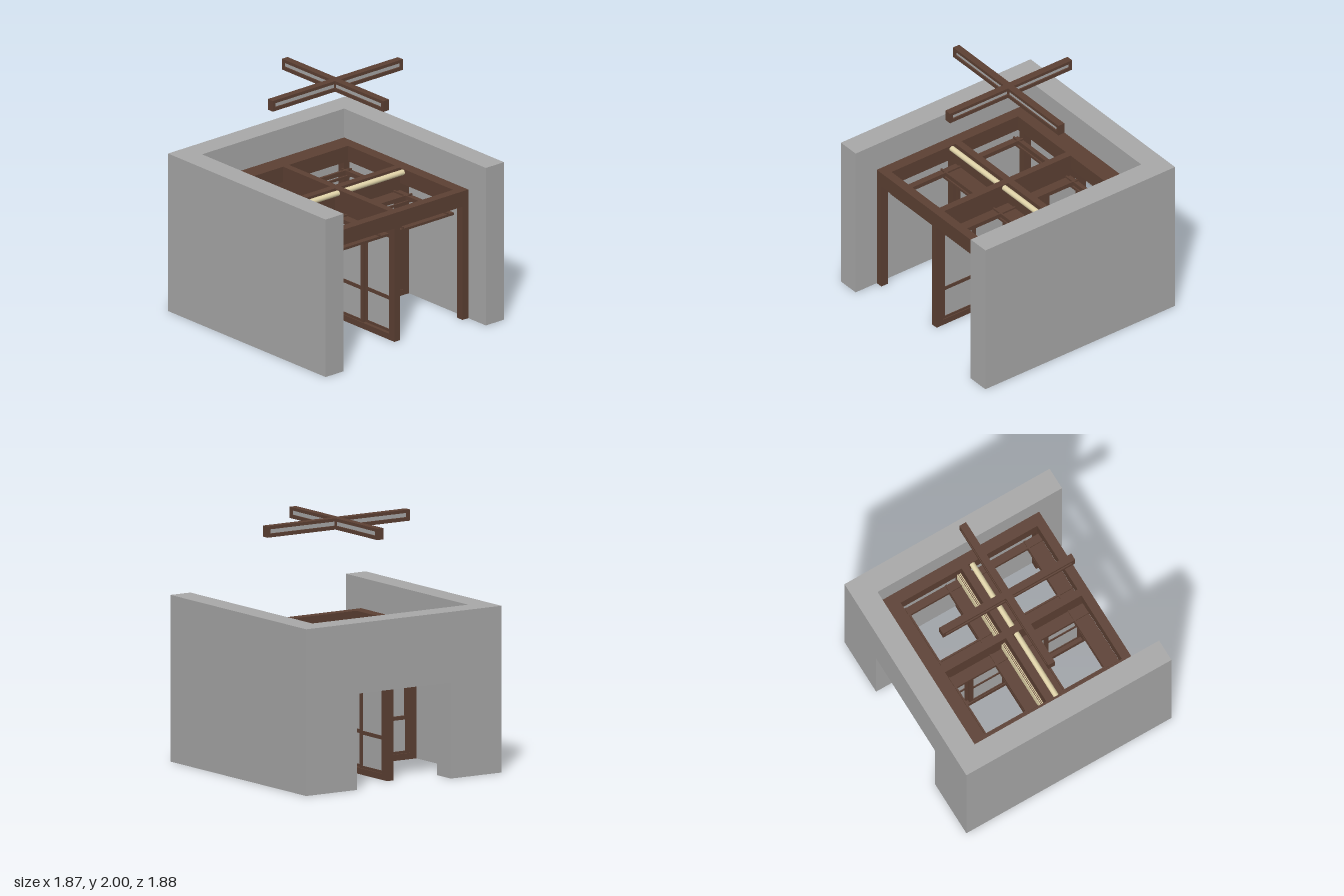
import * as THREE from 'three';

export function createModel() {
  const root = new THREE.Group();
  const plaster = new THREE.MeshStandardMaterial({ color: 0xa8a8a8 });
  plaster.name = 'grey plaster';
  const wood = new THREE.MeshStandardMaterial({ color: 0x5c4033 });
  wood.name = 'dark wood';
  const cream = new THREE.MeshStandardMaterial({ color: 0xe0d3a8 });
  cream.name = 'cream blind';

  // Box given by its limits on each axis
  function block(name, mat, x0, x1, y0, y1, z0, z1, parent = root) {
    const mesh = new THREE.Mesh(new THREE.BoxGeometry(x1 - x0, y1 - y0, z1 - z0), mat);
    mesh.position.set((x0 + x1) / 2, (y0 + y1) / 2, (z0 + z1) / 2);
    mesh.name = name;
    parent.add(mesh);
    return mesh;
  }

  const rect = (P, x0, x1, y0, y1) => {
    const p = new P();
    p.moveTo(x0, y0);
    p.lineTo(x1, y0);
    p.lineTo(x1, y1);
    p.lineTo(x0, y1);
    p.closePath();
    return p;
  };
  const extrude = (shape, depth) =>
    new THREE.ExtrudeGeometry(shape, { depth, bevelEnabled: false });

  // Walls: U-shaped plan with a doorway through the back
  const u = new THREE.Shape();
  [[-0.935, -0.94], [-0.745, -0.94], [-0.745, 0.755], [0.745, 0.755], [0.745, -0.94],
    [0.935, -0.94], [0.935, 0.945], [-0.935, 0.945]]
    .forEach(([x, y], i) => (i ? u.lineTo(x, y) : u.moveTo(x, y)));
  u.closePath();
  const upper = new THREE.Mesh(extrude(u, 1.335 - 0.77), plaster);
  upper.rotation.x = -Math.PI / 2;
  upper.position.y = 0.77;
  upper.name = 'upperWalls';
  root.add(upper);
  for (const s of [-1, 1]) {
    const a = s * 0.745, b = s * 0.935;
    block('sideWall', plaster, Math.min(a, b), Math.max(a, b), 0, 0.77, -0.945, 0.94);
    const c = s * 0.45;
    block('doorwayWall', plaster, Math.min(a, c), Math.max(a, c), 0, 0.77, -0.945, -0.755);
  }

  // Nine posts on a three by three plan
  const columns = [[-0.745, -0.685], [-0.03, 0.03], [0.685, 0.745]];
  const rows = [[-0.755, -0.69], [-0.04, 0.02], [0.665, 0.73]];
  for (const [x0, x1] of columns) {
    for (const [z0, z1] of rows) block('post', wood, x0, x1, 0, 0.96, z0, z1);
  }

  // Roof beams
  block('frontBeam', wood, -0.745, 0.745, 0.96, 1.09, 0.655, 0.73);
  block('backBeam', wood, -0.745, 0.745, 0.96, 1.09, -0.755, -0.6);
  block('sideBeam', wood, -0.745, -0.65, 0.96, 1.09, -0.6, 0.655);
  block('sideBeam', wood, 0.65, 0.745, 0.96, 1.09, -0.6, 0.655);
  block('crossBeam', wood, -0.65, 0.65, 0.96, 1.09, -0.04, 0.02);
  block('crossBeam', wood, -0.03, 0.03, 0.96, 1.09, -0.6, 0.655);

  // Head rails and floor sills of the two crossing partitions
  for (const [name, y0, y1] of [['headRail', 0.88, 0.96], ['sill', 0, 0.05]]) {
    block(name, wood, -0.685, 0.685, y0, y1, -0.04, 0.02);
    block(name, wood, -0.03, 0.03, y0, y1, -0.69, 0.665);
  }

  // Coffered ceiling: a bordered opening with crossing thin bars per bay
  for (const s of [-1, 1]) {
    for (const [z0, z1, h0, h1] of [[-0.6, -0.04, -0.55, -0.19], [0.02, 0.665, 0.17, 0.53]]) {
      const ring = rect(THREE.Shape, 0.03, 0.65, -z1, -z0);
      ring.holes.push(rect(THREE.Path, 0.13, 0.58, -h1, -h0));
      const mesh = new THREE.Mesh(extrude(ring, 0.02), wood);
      mesh.rotation.x = -Math.PI / 2;
      mesh.position.set(s < 0 ? -0.68 : 0, 0.88, 0);
      if (s < 0) mesh.position.x = -0.71 + 0.03;
      mesh.name = 'ceilingBorder';
      // The left bay is the right bay shifted, with its border widths swapped
      if (s < 0) {
        const other = rect(THREE.Shape, -0.65, -0.03, -z1, -z0);
        other.holes.push(rect(THREE.Path, -0.58, -0.13, -h1, -h0));
        mesh.geometry = extrude(other, 0.02);
        mesh.position.x = 0;
      }
      root.add(mesh);
      for (const z of [h0 - 0.007, h1 + 0.007]) {
        const x0 = s < 0 ? -0.65 : 0.03;
        block('ceilingBar', wood, x0, x0 + 0.62, 0.9, 0.915, z - 0.007, z + 0.007);
        block('ceilingBar', wood, x0, x0 + 0.62, 0.845, 0.865, z - 0.007, z + 0.007);
      }
      for (const x of [0.123, 0.587]) {
        block('ceilingBar', wood, s * x - 0.007, s * x + 0.007, 0.9, 0.915, z0, z1);
      }
    }
  }

  // Rolled blind in front and slatted blind behind the cross beam
  for (const s of [-1, 1]) {
    const x0 = s < 0 ? -0.65 : 0.03;
    const roll = new THREE.Mesh(new THREE.CylinderGeometry(0.023, 0.023, 0.62, 20), cream);
    roll.rotation.z = Math.PI / 2;
    roll.position.set(s * 0.34, 1.062, 0.057);
    roll.name = 'rolledBlind';
    root.add(roll);
    for (let i = 0; i < 3; i++) {
      const z = -0.08 + i * 0.012;
      block('blindSheet', cream, x0, x0 + 0.62, 0.87, 1.0, z, z + 0.006);
      block('blindSlat', wood, x0, x0 + 0.62, 0.9, 1.005, z + 0.006, z + 0.01);
    }
  }

  // Framed screen along its local x axis; the upper field may stay open
  function screen(name, width, openTop) {
    const g = new THREE.Group();
    g.name = name;
    const w = width / 2, d = 0.01;
    for (const s of [-1, 1]) {
      const c = s * (w - 0.018);
      block('stile', wood, c - 0.018, c + 0.018, 0.03, 0.88, -d, d, g);
    }
    block('bottomRail', wood, -w, w, 0.03, 0.07, -d, d, g);
    block('middleRail', wood, -w, w, 0.32, 0.35, -d, d, g);
    block('topRail', wood, -w, w, 0.845, 0.88, -d, d, g);
    block('lowerPanel', plaster, -w + 0.03, w - 0.03, 0.06, 0.33, -0.003, 0.003, g);
    if (!openTop) block('upperPanel', plaster, -w + 0.03, w - 0.03, 0.34, 0.86, -0.003, 0.003, g);
    root.add(g);
    return g;
  }
  screen('openScreen', 0.655, true).position.set(-0.357, 0, -0.02);
  screen('openScreen', 0.655, true).position.set(0.357, 0, -0.024);
  screen('slidingScreen', 0.36, false).position.set(0.46, 0, 0.002);
  block('screenJamb', wood, 0.6, 0.685, 0.03, 0.88, -0.02, 0.015);
  for (const [z, x] of [[-0.53, 0.012], [-0.2, -0.012], [0.18, -0.012], [0.505, 0.012]]) {
    const g = screen('slidingScreen', 0.34, false);
    g.rotation.y = Math.PI / 2;
    g.position.set(x, 0, z);
  }

  // Hanging cross with recessed panels
  function hangingArm(name, half) {
    const g = new THREE.Group();
    g.name = name;
    block('rail', wood, -half, half, 1.975, 2, -0.03, 0.03, g);
    block('rail', wood, -half, half, 1.91, 1.94, -0.03, 0.03, g);
    for (const s of [-1, 1]) {
      const c = s * (half - 0.014);
      block('end', wood, c - 0.014, c + 0.014, 1.94, 1.975, -0.03, 0.03, g);
    }
    block('panel', plaster, -half + 0.02, half - 0.02, 1.935, 1.98, -0.018, 0.018, g);
    g.position.z = -0.01;
    root.add(g);
    return g;
  }
  hangingArm('hangingArm', 0.682);
  hangingArm('hangingArm', 0.607).rotation.y = Math.PI / 2;
  block('hangingHub', wood, -0.03, 0.03, 1.91, 2, -0.04, 0.02);

  return root;
}
